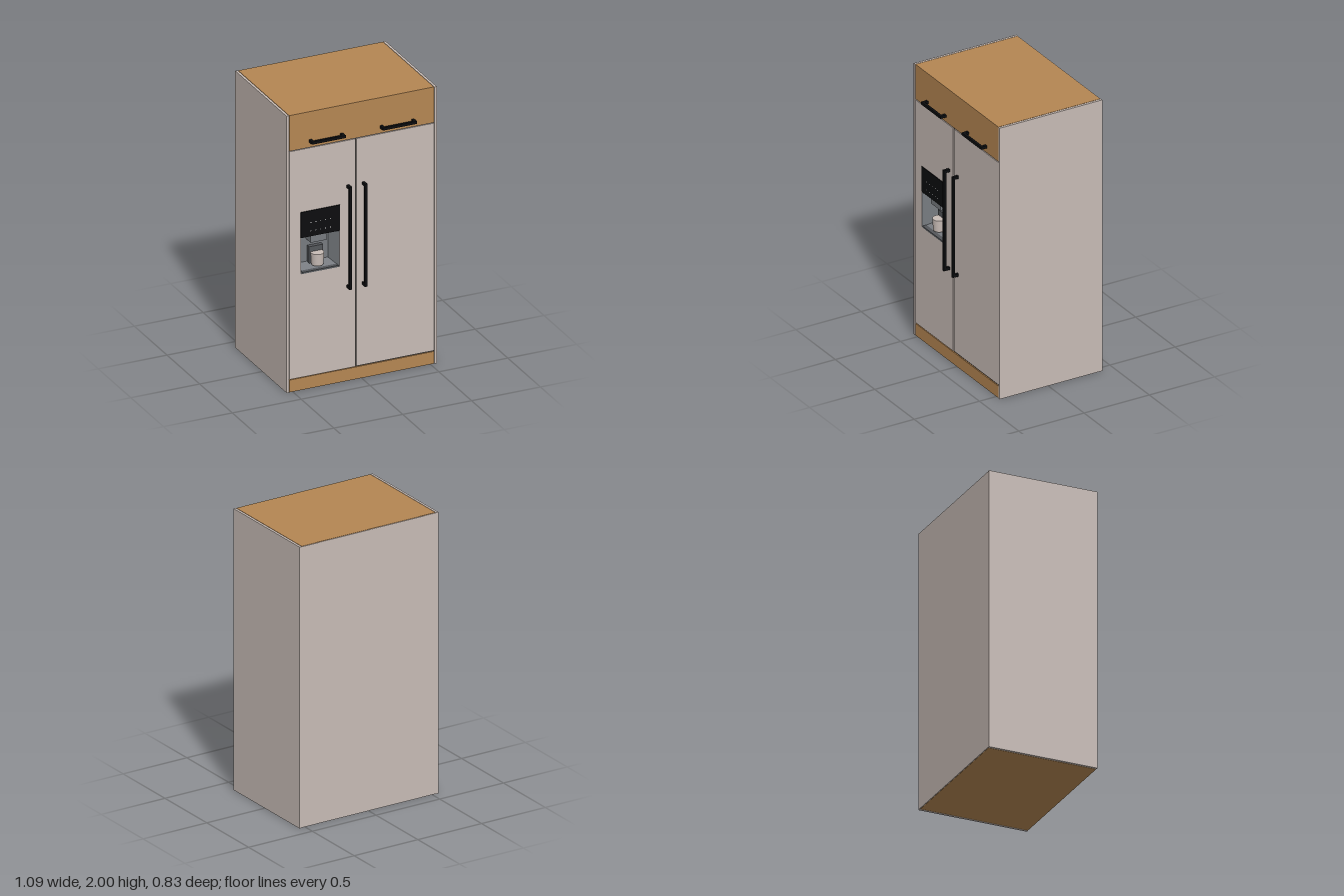
import * as THREE from 'three';

const mat = (name, color, side = THREE.FrontSide) => {
  const m = new THREE.MeshStandardMaterial({ color, side });
  m.name = name;
  return m;
};

export function createModel() {
  const model = new THREE.Group();
  model.name = 'builtInFridge';

  const steel = mat('warm steel', 0xc8bcb6);
  const wood = mat('wood', 0xb48652);
  const black = mat('black', 0x0c0d0f);
  const seam = mat('dark seam', 0x4a4644);
  const grey = mat('recess grey', 0x777b80, THREE.DoubleSide);
  const darkGrey = mat('dark grey', 0x54575b);
  const white = mat('indicator white', 0xd8d8d8);

  const add = (name, geometry, material, parent = model) => {
    const mesh = new THREE.Mesh(geometry, material);
    mesh.name = name;
    parent.add(mesh);
    return mesh;
  };
  // Box given by its two extremes on each axis
  const box = (name, material, [x0, x1], [y0, y1], [z0, z1], parent = model) => {
    const mesh = add(name, new THREE.BoxGeometry(x1 - x0, y1 - y0, z1 - z0), material, parent);
    mesh.position.set((x0 + x1) / 2, (y0 + y1) / 2, (z0 + z1) / 2);
    return mesh;
  };
  const rect = (Type, x0, x1, y0, y1) => new Type([
    new THREE.Vector2(x0, y0), new THREE.Vector2(x1, y0),
    new THREE.Vector2(x1, y1), new THREE.Vector2(x0, y1),
  ]);

  // Cabinet
  for (const s of [-1, 1]) {
    const xs = [s * 0.528, s * 0.545].sort((a, b) => a - b);
    box(s < 0 ? 'rightSidePanel' : 'leftSidePanel', steel, xs, [0, 2], [-0.415, 0.372]);
  }
  box('backPanel', steel, [-0.528, 0.528], [0.002, 1.998], [-0.415, -0.41]);
  box('topCabinet', wood, [-0.525, 0.525], [1.745, 2], [-0.41, 0.37]);
  box('plinth', wood, [-0.525, 0.525], [0, 0.088], [-0.41, 0.37]);
  box('innerBody', seam, [-0.528, 0.528], [0.08, 1.75], [-0.41, 0.26]);
  box('seamFiller', seam, [-0.05, -0.036], [0.088, 1.745], [0.26, 0.362]);
  box('lowerSeam', seam, [-0.528, 0.528], [0.085, 0.1], [0.26, 0.362]);
  box('upperSeam', seam, [-0.528, 0.528], [1.735, 1.747], [0.26, 0.362]);

  // Doors, the narrow one with an opening for the dispenser
  const doorShape = rect(THREE.Shape, -0.525, -0.048, 0.094, 1.738);
  doorShape.holes.push(rect(THREE.Path, -0.44, -0.16, 0.84, 1.1));
  const freezer = add('freezerDoor',
    new THREE.ExtrudeGeometry(doorShape, { depth: 0.11, bevelEnabled: false }), steel);
  freezer.position.z = 0.26;
  box('fridgeDoor', steel, [-0.038, 0.525], [0.098, 1.738], [0.26, 0.37]);

  // Dispenser: tapered recess, paddle, spout, cup and tray
  const dispenser = new THREE.Group();
  dispenser.name = 'dispenser';
  model.add(dispenser);
  const ring = (x0, x1, y0, y1, z) => [[x0, y0, z], [x1, y0, z], [x1, y1, z], [x0, y1, z]];
  const front = ring(-0.44, -0.16, 0.84, 1.1, 0.371);
  const back = ring(-0.4, -0.2, 0.875, 1.08, 0.275);
  const pts = [];
  const quad = (a, b, c, d) => pts.push(...a, ...b, ...c, ...a, ...c, ...d);
  for (let i = 0; i < 4; i++) {
    const j = (i + 1) % 4;
    quad(front[i], front[j], back[j], back[i]);
  }
  quad(...back);
  const recess = new THREE.BufferGeometry();
  recess.setAttribute('position', new THREE.Float32BufferAttribute(pts, 3));
  recess.computeVertexNormals();
  add('dispenserRecess', recess, grey, dispenser);
  box('dispenserPaddle', darkGrey, [-0.35, -0.25], [0.87, 0.99], [0.27, 0.305], dispenser);
  box('dispenserSpout', grey, [-0.36, -0.24], [1.04, 1.1], [0.27, 0.35], dispenser);
  box('dripTray', darkGrey, [-0.43, -0.17], [0.838, 0.85], [0.345, 0.374], dispenser);
  const cup = add('dispenserCup', new THREE.CylinderGeometry(0.045, 0.04, 0.085, 24), steel, dispenser);
  cup.position.set(-0.3, 0.91, 0.325);

  // Control panel with indicator marks
  box('controlPanel', black, [-0.442, -0.158], [1.1, 1.285], [0.365, 0.376], dispenser);
  for (let row = 0; row < 2; row++) {
    for (let i = 0; i < 5; i++) {
      const x = -0.37 + i * 0.035, y = 1.14 + row * 0.06;
      box('indicator', white, [x - 0.003, x + 0.003], [y - 0.003, y + 0.003], [0.376, 0.377], dispenser);
    }
  }

  // Square bar handles on two end posts
  const handle = (name, [x0, x1], [y0, y1]) => {
    const g = new THREE.Group();
    g.name = name;
    model.add(g);
    box('bar', black, [x0, x1], [y0, y1], [0.397, 0.415], g);
    const t = 0.02;
    if (y1 - y0 > x1 - x0) {
      box('lowerPost', black, [x0, x1], [y0, y0 + t], [0.368, 0.4], g);
      box('upperPost', black, [x0, x1], [y1 - t, y1], [0.368, 0.4], g);
    } else {
      box('rightPost', black, [x0, x0 + t], [y0, y1], [0.368, 0.4], g);
      box('leftPost', black, [x1 - t, x1], [y0, y1], [0.368, 0.4], g);
    }
  };
  handle('freezerHandle', [-0.109, -0.09], [0.675, 1.417]);
  handle('fridgeHandle', [0.004, 0.022], [0.675, 1.417]);
  handle('topCabinetRightHandle', [-0.382, -0.135], [1.78, 1.799]);
  handle('topCabinetLeftHandle', [0.133, 0.381], [1.78, 1.799]);

  return model;
}
